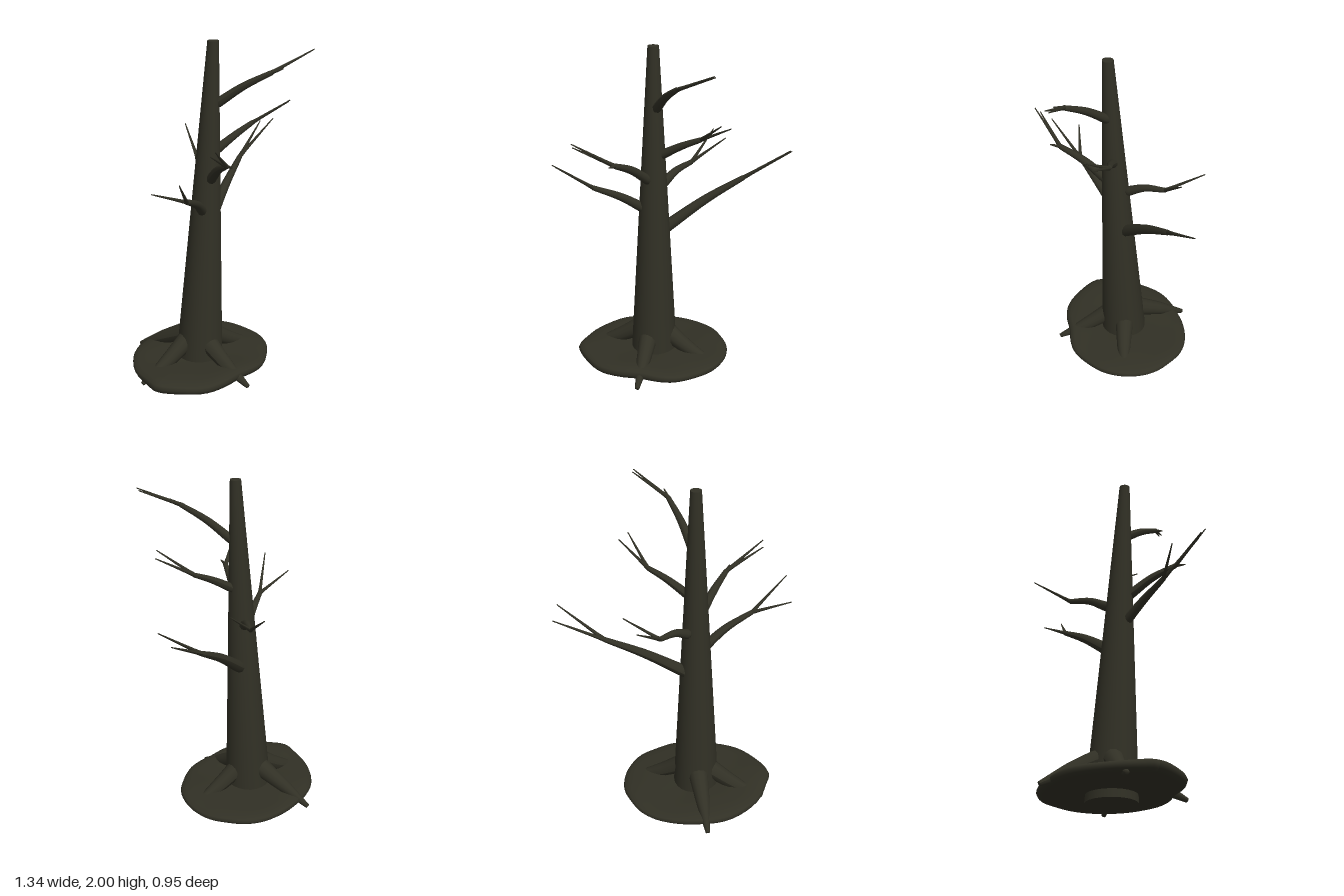
import * as THREE from 'three';

const V = (p) => new THREE.Vector3(...p);

// Tapered limb swept along points [x, y, z, radius], closed at both ends
function limb(name, pts, material, sides = 10, steps = 12) {
  const curve = new THREE.CatmullRomCurve3(pts.map((p) => V(p.slice(0, 3))));
  const frames = curve.computeFrenetFrames(steps, false);
  const pos = [];
  const index = [];
  const ring = (c, i, r) => {
    for (let k = 0; k <= sides; k++) {
      const a = (k / sides) * Math.PI * 2;
      const p = c.clone()
        .addScaledVector(frames.normals[i], Math.cos(a) * r)
        .addScaledVector(frames.binormals[i], Math.sin(a) * r);
      pos.push(p.x, p.y, p.z);
    }
  };
  // rounded butt
  const r0 = pts[0][3];
  const start = curve.getPoint(0);
  for (const a of [90, 60, 30]) {
    const t = THREE.MathUtils.degToRad(a);
    ring(start.clone().addScaledVector(frames.tangents[0], -Math.sin(t) * r0 * 0.7), 0, Math.cos(t) * r0);
  }
  for (let i = 0; i <= steps; i++) {
    const f = (i / steps) * (pts.length - 1);
    const n = Math.min(Math.floor(f), pts.length - 2);
    ring(curve.getPoint(i / steps), i, THREE.MathUtils.lerp(pts[n][3], pts[n + 1][3], f - n));
  }
  ring(curve.getPoint(1), steps, 0);
  const w = sides + 1;
  for (let i = 0; i < steps + 4; i++) {
    for (let k = 0; k < sides; k++) {
      const a = i * w + k;
      index.push(a, a + 1, a + w, a + 1, a + w + 1, a + w);
    }
  }
  const g = new THREE.BufferGeometry();
  g.setAttribute('position', new THREE.Float32BufferAttribute(pos, 3));
  g.setIndex(index);
  g.computeVertexNormals();
  const mesh = new THREE.Mesh(g, material);
  mesh.name = name;
  return mesh;
}

// Uneven slab of earth with a rounded rim
function mound(material) {
  const outline = new THREE.CatmullRomCurve3([
    [-0.6, -0.01], [-0.57, -0.11], [-0.51, -0.24], [-0.37, -0.37], [-0.26, -0.415], [-0.12, -0.425],
    [0, -0.415], [0.13, -0.37], [0.22, -0.3], [0.265, -0.23], [0.31, -0.12], [0.315, -0.02],
    [0.29, 0.09], [0.22, 0.2], [0.11, 0.275], [0, 0.32], [-0.09, 0.32], [-0.19, 0.297],
    [-0.32, 0.28], [-0.44, 0.23], [-0.53, 0.13],
  ].map(([x, z]) => V([x, 0, z])), true);
  const rim = outline.getPoints(72);
  const cx = -0.135, cz = -0.05;
  // [scale, height] from top centre round to bottom centre
  const rows = [[0, 0.11], [0.35, 0.112], [0.6, 0.115], [0.8, 0.115], [0.92, 0.11], [0.98, 0.1],
    [1, 0.084], [0.98, 0.066], [0.92, 0.055], [0.7, 0.048], [0.35, 0.046], [0, 0.046]];
  const pos = [];
  const index = [];
  for (const [s, h] of rows) {
    for (const p of rim) {
      const x = cx + (p.x - cx) * s;
      const z = cz + (p.z - cz) * s;
      // the upper face undulates and dips to the back left; the underside stays level
      const wave = 0.006 * Math.sin(x * 11 + 1) * Math.cos(z * 12) - 0.022 * (x - cx) + 0.015 * (z - cz);
      pos.push(x, h + wave * THREE.MathUtils.clamp((h - 0.046) / 0.05, 0, 1), z);
    }
  }
  const w = rim.length;
  for (let i = 0; i < rows.length - 1; i++) {
    for (let k = 0; k < w - 1; k++) {
      const a = i * w + k;
      index.push(a, a + 1, a + w, a + 1, a + w + 1, a + w);
    }
  }
  const g = new THREE.BufferGeometry();
  g.setAttribute('position', new THREE.Float32BufferAttribute(pos, 3));
  g.setIndex(index);
  g.computeVertexNormals();
  const mesh = new THREE.Mesh(g, material);
  mesh.name = 'groundMound';
  return mesh;
}

export function createModel() {
  const model = new THREE.Group();
  model.name = 'bareTree';
  const bark = new THREE.MeshStandardMaterial({ color: 0x313025 });
  bark.name = 'darkBark';

  // Leaning, tapering trunk
  const trunkGeo = new THREE.CylinderGeometry(0.031, 0.143, 2, 24, 8);
  const p = trunkGeo.attributes.position;
  for (let i = 0; i < p.count; i++) {
    const t = (p.getY(i) + 1) / 2;
    p.setXYZ(i, p.getX(i) - 0.135 + 0.018 * t, t * 2, p.getZ(i) - 0.055 + 0.099 * t);
  }
  const trunk = new THREE.Mesh(trunkGeo, bark);
  trunk.name = 'trunk';
  model.add(trunk, mound(bark));

  // Flaring roots: start, middle, tip
  const roots = [
    ['backRoot', [-0.14, 0.225, -0.13, 0.06], [-0.16, 0.14, -0.3, 0.042], [-0.18, 0.047, -0.472, 0.013]],
    ['frontRoot', [-0.16, 0.22, 0.02, 0.058], [-0.185, 0.125, 0.18, 0.042], [-0.21, 0.047, 0.355, 0.013]],
    ['rightRoot', [-0.21, 0.22, -0.08, 0.058], [-0.37, 0.12, -0.12, 0.042], [-0.54, 0.047, -0.16, 0.013]],
    ['leftRoot', [-0.06, 0.22, -0.03, 0.058], [0.09, 0.12, 0.025, 0.042], [0.26, 0.047, 0.08, 0.013]],
  ];
  for (const [name, ...pts] of roots) model.add(limb(name, pts, bark, 12));

  // Branches: stem points ending at the fork, then the twig tips
  const branches = [
    ['lowLeftBranch', [[-0.06, 0.91, -0.035, 0.036], [0.17, 1.07, -0.083, 0.026], [0.39, 1.195, -0.123, 0.015]],
      [[0.665, 1.345, -0.16], [0.646, 1.385, -0.053]]],
    ['lowRightBranch', [[-0.17, 1.04, 0.01, 0.03], [-0.3, 1.135, 0.065, 0.023], [-0.455, 1.21, 0.115, 0.014]],
      [[-0.66, 1.385, 0.229], [-0.67, 1.305, 0.057]]],
    ['highRightBranch', [[-0.155, 1.24, 0.055, 0.029], [-0.235, 1.335, 0.16, 0.023], [-0.315, 1.4, 0.27, 0.015]],
      [[-0.53, 1.55, 0.355], [-0.53, 1.52, 0.325], [-0.338, 1.41, 0.325]]],
    ['highLeftBranch', [[-0.08, 1.38, 0.03, 0.027], [0.04, 1.455, 0.085, 0.02], [0.142, 1.505, 0.125, 0.014]],
      [[0.25, 1.64, 0.305], [0.302, 1.615, 0.266]]],
    ['backBranch', [[-0.07, 1.18, -0.06, 0.029], [0, 1.23, -0.13, 0.021], [0.085, 1.25, -0.22, 0.014]],
      [[0.21, 1.395, -0.402], [0.282, 1.395, -0.235]]],
    ['topBranch', [[-0.1, 1.66, 0.06, 0.027], [-0.045, 1.76, 0.19, 0.021], [0.02, 1.84, 0.325, 0.014]],
      [[0.21, 1.95, 0.47], [0.215, 1.94, 0.453], [0.04, 1.865, 0.385]]],
  ];
  for (const [name, stem, tips] of branches) {
    const group = new THREE.Group();
    group.name = name;
    group.add(limb('stem', stem, bark));
    const [x, y, z, r] = stem[stem.length - 1];
    for (const tip of tips) {
      group.add(limb('twig', [[x, y, z, r * 0.9], [...tip, 0.003]], bark, 7, 3));
    }
    model.add(group);
  }
  return model;
}
